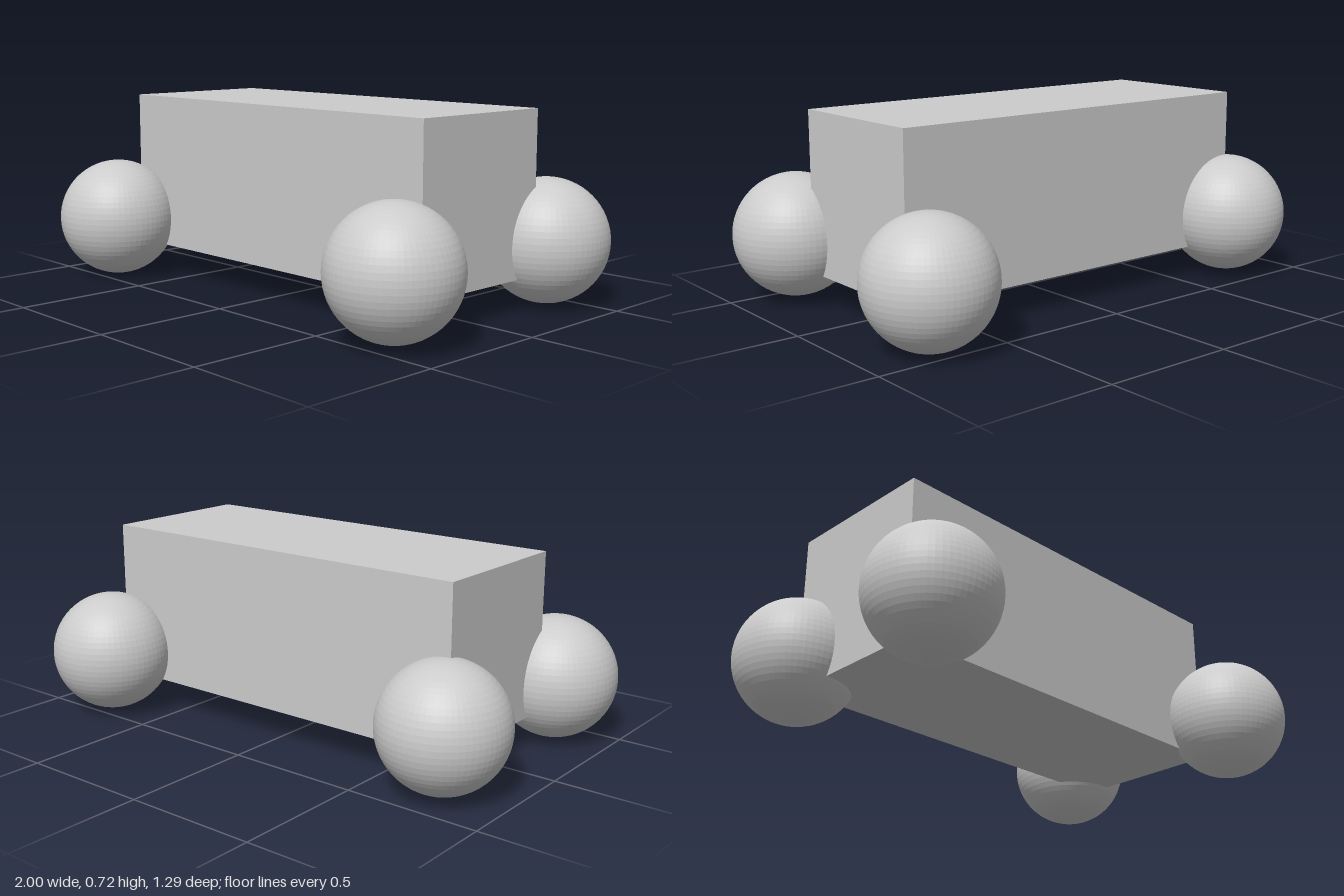
import * as THREE from 'three';

export function createModel() {
  const model = new THREE.Group();
  model.name = 'cart';
  const material = new THREE.MeshStandardMaterial({ color: 0xcccccc, flatShading: true });

  // Plain box body
  const body = new THREE.Mesh(new THREE.BoxGeometry(1.54, 0.6, 0.6), material);
  body.name = 'body';
  body.position.set(0, 0.425, -0.014);
  model.add(body);

  // Ball wheels, slightly uneven in placement
  const ball = new THREE.SphereGeometry(0.23, 64, 32);
  const wheels = [
    ['frontLeftWheel', 0.767, 0.25, 0.414],
    ['frontRightWheel', -0.77, 0.236, 0.402],
    ['backLeftWheel', 0.747, 0.241, -0.415],
    ['backRightWheel', -0.761, 0.245, -0.333],
  ];
  for (const [name, x, y, z] of wheels) {
    const wheel = new THREE.Mesh(ball, material);
    wheel.name = name;
    wheel.position.set(x, y, z);
    model.add(wheel);
  }
  return model;
}
